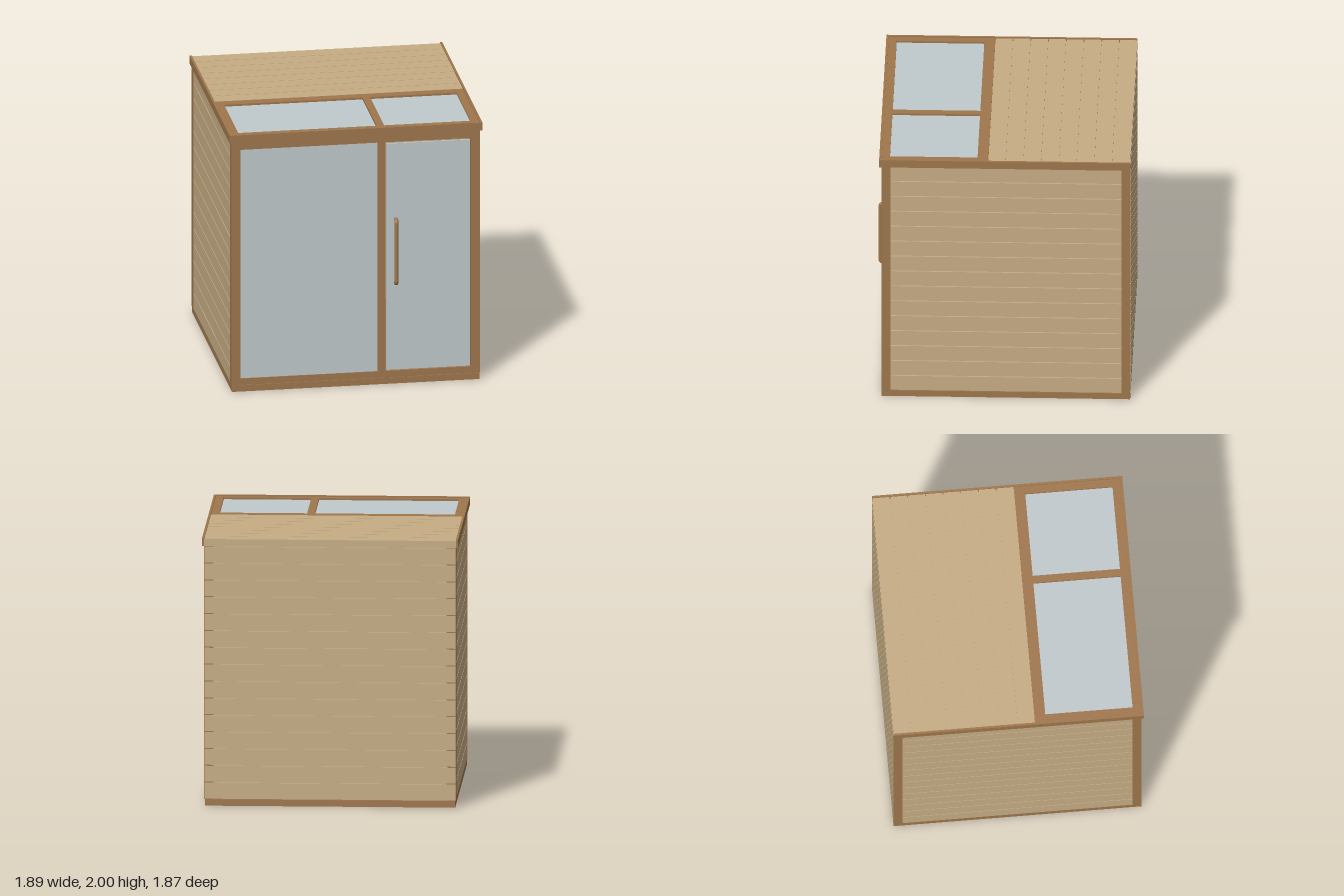
import * as THREE from 'three';

const mat = (name, color) => {
  const m = new THREE.MeshStandardMaterial({ color });
  m.name = name;
  return m;
};

export function createModel() {
  const frameWood = mat('brown frame wood', 0x9e764c);
  const plankWood = mat('light plank wood', 0xc6ac84);
  const glass = mat('pale glass', 0xc0c9cc);

  const model = new THREE.Group();
  model.name = 'sauna cabin';

  const group = (name) => {
    const g = new THREE.Group();
    g.name = name;
    model.add(g);
    return g;
  };

  // Box given by its min and max on each axis
  const box = (parent, name, material, [x0, x1], [y0, y1], [z0, z1]) => {
    const mesh = new THREE.Mesh(new THREE.BoxGeometry(x1 - x0, y1 - y0, z1 - z0), material);
    mesh.position.set((x0 + x1) / 2, (y0 + y1) / 2, (z0 + z1) / 2);
    mesh.name = name;
    parent.add(mesh);
  };

  const W = 0.927, BACK = -0.935, FRONT = 0.895;
  const LOW = 0.05, TOP = 1.94, GAP = 0.004;

  // Base
  box(group('base'), 'floor', frameWood, [-0.922, 0.922], [0, LOW - 0.002], [BACK, FRONT]);

  // Corner posts
  const posts = group('cornerPosts');
  for (const s of [-1, 1]) {
    const x = s < 0 ? [-W, -0.858] : [0.858, W];
    box(posts, 'frontPost', frameWood, x, [LOW, TOP], [0.83, FRONT]);
    box(posts, 'backPost', frameWood, x, [LOW, TOP], [BACK, -0.87]);
  }

  // Plank walls: boards with narrow grooves in front of a recessed backing
  const walls = group('plankWalls');
  const ROWS = 15, pitch = (TOP - LOW) / ROWS;
  for (let i = 0; i < ROWS; i++) {
    const y = [LOW + i * pitch + GAP, LOW + (i + 1) * pitch - GAP];
    box(walls, 'leftPlank', plankWood, [0.88, W - 0.003], y, [-0.87, 0.83]);
    box(walls, 'rightPlank', plankWood, [-W + 0.003, -0.88], y, [-0.87, 0.83]);
    box(walls, 'backPlank', plankWood, [-W + 0.002, W - 0.002], y, [BACK - 0.002, -0.89]);
  }
  box(walls, 'leftBacking', plankWood, [0.87, 0.912], [LOW, TOP], [-0.87, 0.83]);
  box(walls, 'rightBacking', plankWood, [-0.912, -0.87], [LOW, TOP], [-0.87, 0.83]);
  box(walls, 'backBacking', plankWood, [-0.87, 0.87], [LOW, TOP], [-0.922, -0.88]);

  // Glazed front
  const front = group('glassFront');
  box(front, 'header', frameWood, [-0.86, 0.86], [1.88, TOP], [0.835, FRONT - 0.001]);
  box(front, 'sill', frameWood, [-0.86, 0.86], [LOW, 0.1], [0.835, FRONT - 0.001]);
  box(front, 'mullion', frameWood, [0.165, 0.222], [0.1, 1.88], [0.835, FRONT - 0.001]);
  box(front, 'fixedPane', glass, [-0.86, 0.165], [0.1, 1.88], [0.872, 0.886]);
  box(front, 'doorPane', glass, [0.23, 0.855], [0.105, 1.865], [0.872, 0.886]);

  // Door handle: a bar with rounded bends on two stubs
  const bar = new THREE.CurvePath();
  const v = (y, z) => new THREE.Vector3(0.3, y, z);
  const lo = 0.783, hi = 1.275, out = 0.922, r = 0.025;
  bar.add(new THREE.LineCurve3(v(lo, 0.88), v(lo, out - r)));
  bar.add(new THREE.QuadraticBezierCurve3(v(lo, out - r), v(lo, out), v(lo + r, out)));
  bar.add(new THREE.LineCurve3(v(lo + r, out), v(hi - r, out)));
  bar.add(new THREE.QuadraticBezierCurve3(v(hi - r, out), v(hi, out), v(hi, out - r)));
  bar.add(new THREE.LineCurve3(v(hi, out - r), v(hi, 0.88)));
  const handle = new THREE.Mesh(new THREE.TubeGeometry(bar, 80, 0.015, 12), frameWood);
  handle.name = 'doorHandle';
  model.add(handle);

  // Roof planks
  const roof = group('roof');
  const ROOF_ROWS = 8, roofPitch = (0.11 - BACK) / ROOF_ROWS;
  for (let i = 0; i < ROOF_ROWS; i++) {
    const z0 = BACK + i * roofPitch;
    box(roof, 'roofPlank', plankWood, [-W, W], [TOP, 1.992],
      [i ? z0 + 0.003 : z0, z0 + roofPitch - 0.003]);
  }
  box(roof, 'roofBacking', plankWood, [-W + 0.01, W - 0.01], [TOP + 0.002, 1.978], [-0.92, 0.11]);

  // Skylight frame and panes
  const TOPS = [TOP, 1.992];
  box(roof, 'crossBeam', frameWood, [-W, W], TOPS, [0.11, 0.19]);
  box(roof, 'frontRail', frameWood, [-W, W], TOPS, [0.835, FRONT]);
  for (const x of [[-W, -0.867], [0.165, 0.222], [0.867, W]])
    box(roof, 'skylightRail', frameWood, x, TOPS, [0.19, 0.835]);
  box(roof, 'largeSkylight', glass, [-0.867, 0.165], [1.964, 1.978], [0.19, 0.835]);
  box(roof, 'smallSkylight', glass, [0.222, 0.867], [1.964, 1.978], [0.19, 0.835]);

  // Fascia boards along the front and sides
  box(roof, 'frontFascia', frameWood, [-0.943, 0.943], [TOP, 2], [FRONT, 0.913]);
  box(roof, 'leftFascia', frameWood, [W, 0.943], [TOP, 2], [BACK, FRONT]);
  box(roof, 'rightFascia', frameWood, [-0.943, -W], [TOP, 2], [BACK, FRONT]);

  return model;
}
